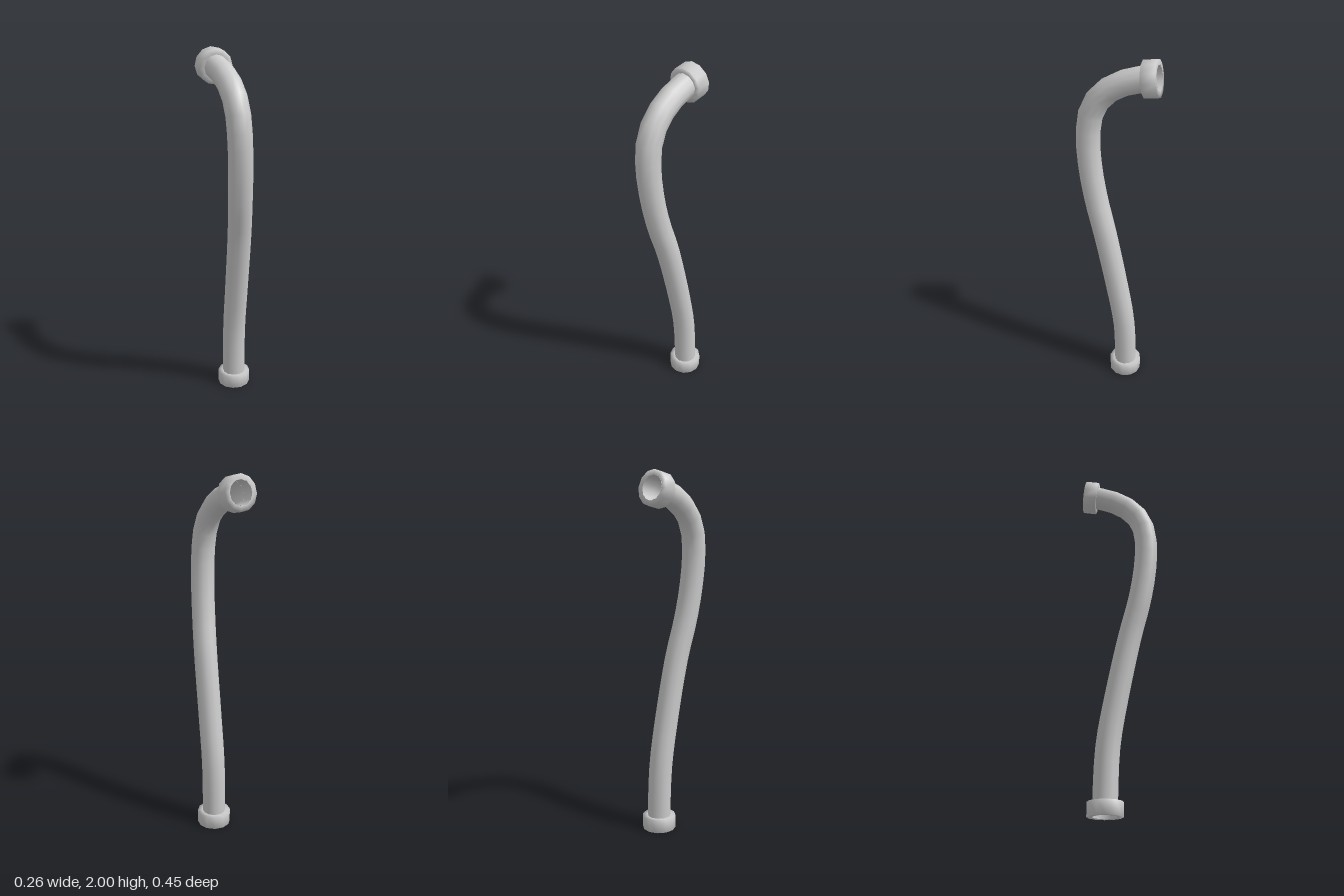
import * as THREE from 'three';

const SIDES = 12;
const PIPE_R = 0.066;
const COLLAR_R = 0.095;
const COLLAR_H = 0.075;

export function createModel() {
  const group = new THREE.Group();
  const mat = new THREE.MeshStandardMaterial({ color: 0xcccccc, side: THREE.DoubleSide });

  // Open pipe swept along a gentle S that hooks backwards at the top
  const path = new THREE.CatmullRomCurve3([
    [0.035, 0, -0.07], [0.035, 0.1, -0.07], [0.031, 0.37, -0.058], [0.022, 0.64, -0.013],
    [0.002, 1.0, 0.062], [-0.02, 1.2, 0.113], [-0.036, 1.4, 0.147], [-0.046, 1.58, 0.156],
    [-0.049, 1.7, 0.137], [-0.048, 1.79, 0.085], [-0.044, 1.86, -0.01],
    [-0.037, 1.902, -0.138], [-0.031, 1.912, -0.212],
  ].map(p => new THREE.Vector3(...p)));
  const pipe = new THREE.Mesh(new THREE.TubeGeometry(path, 24, PIPE_R, SIDES), mat);
  pipe.name = 'pipe';
  group.add(pipe);

  // Collar sleeves around both mouths
  const profile = [[PIPE_R, 0], [COLLAR_R, 0], [COLLAR_R, COLLAR_H], [PIPE_R, COLLAR_H]]
    .map(p => new THREE.Vector2(...p));
  const collarGeometry = new THREE.LatheGeometry(profile, SIDES);
  const addCollar = (name, position, inward) => {
    const collar = new THREE.Mesh(collarGeometry, mat);
    collar.name = name;
    collar.position.set(...position);
    collar.quaternion.setFromUnitVectors(
      new THREE.Vector3(0, 1, 0), new THREE.Vector3(...inward).normalize());
    group.add(collar);
  };
  addCollar('bottomCollar', [0.035, 0, -0.07], [0, 1, 0]);
  addCollar('topCollar', [-0.031, 1.911, -0.211], [-0.075, -0.14, 1]);

  return group;
}
